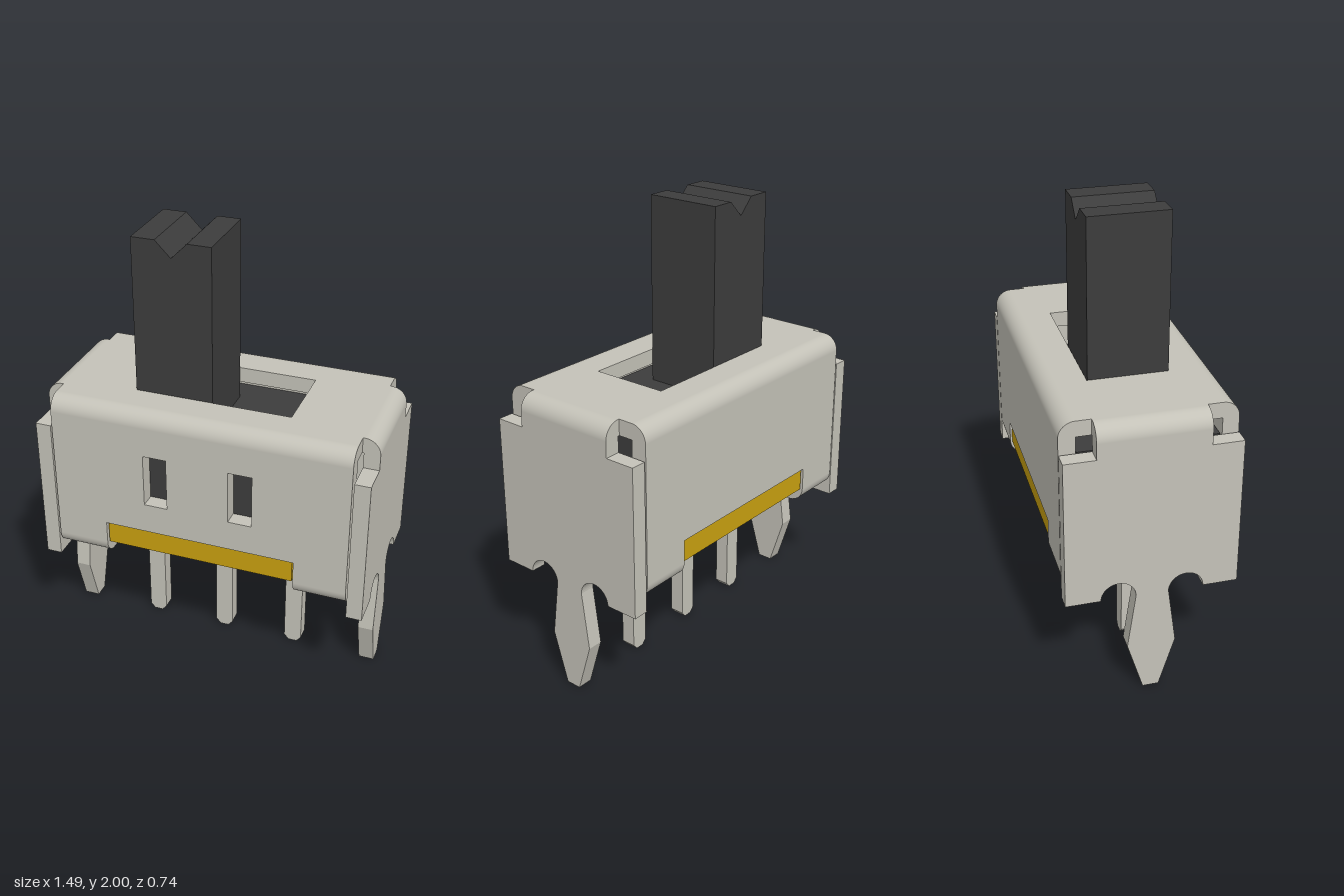
import * as THREE from 'three';

const T = 0.07; // sheet thickness and outer bend radius

const metal = new THREE.MeshStandardMaterial({ color: 0xc4c2b8 });
const dark = new THREE.MeshStandardMaterial({ color: 0x3c3c3c });
const amber = new THREE.MeshStandardMaterial({ color: 0xc8a010 });

const outline = (points) => new THREE.Shape(points.map(([x, y]) => new THREE.Vector2(x, y)));
const rect = (x0, x1, y0, y1) => [[x0, y0], [x1, y0], [x1, y1], [x0, y1]];
const extrude = (shape, depth) =>
  new THREE.ExtrudeGeometry(shape, { depth, bevelEnabled: false, curveSegments: 12 });

function add(parent, name, geometry, material) {
  const mesh = new THREE.Mesh(geometry, material);
  mesh.name = name;
  parent.add(mesh);
  return mesh;
}

// Box given by its limits on each axis
function block(x0, x1, y0, y1, z0, z1) {
  return new THREE.BoxGeometry(x1 - x0, y1 - y0, z1 - z0)
    .translate((x0 + x1) / 2, (y0 + y1) / 2, (z0 + z1) / 2);
}

// Quarter-round fold running along x, bulging to +z and up or down
function fold(length, up) {
  return new THREE.CylinderGeometry(T, T, length, 12, 1, false, up ? 0 : -Math.PI / 2, Math.PI / 2)
    .rotateZ(Math.PI / 2);
}

// Long wall with its top fold and two tabs folded under the base
function longWall(name, windows) {
  const g = new THREE.Group();
  g.name = name;
  const shape = outline([
    [-0.67, 0.61], [-0.435, 0.61], [-0.435, 0.715], [0.435, 0.715],
    [0.435, 0.61], [0.67, 0.61], [0.67, 1.235], [-0.67, 1.235],
  ]);
  if (windows) {
    for (const x of [-0.193, 0.193]) {
      shape.holes.push(outline(rect(x - 0.053, x + 0.053, 0.855, 1.1)));
    }
  }
  add(g, 'wallPanel', extrude(shape, T).translate(0, 0, 0.3), metal);
  add(g, 'topFold', fold(1.34, true).translate(0, 1.235, 0.3), metal);
  for (const s of [-1, 1]) {
    add(g, 'tabFold', fold(0.235, false).translate(s * 0.5525, 0.61, 0.3), metal);
    add(g, 'bottomTab', block(-0.1175, 0.1175, 0.54, 0.61, 0.13, 0.3).translate(s * 0.5525, 0, 0), metal);
  }
  return g;
}

// End wall with its arrow-shaped mounting leg
function endWall(name) {
  const g = new THREE.Group();
  g.name = name;
  const s = new THREE.Shape();
  s.moveTo(-0.37, 0.49);
  s.lineTo(-0.22, 0.49);
  s.absarc(-0.145, 0.49, 0.075, Math.PI, 0, true);
  s.lineTo(-0.105, 0.23);
  s.lineTo(-0.035, 0);
  s.lineTo(0.035, 0);
  s.lineTo(0.105, 0.23);
  s.lineTo(0.07, 0.49);
  s.absarc(0.145, 0.49, 0.075, Math.PI, 0, true);
  s.lineTo(0.37, 0.49);
  s.lineTo(0.37, 1.165);
  s.lineTo(0.235, 1.165);
  s.lineTo(0.235, 1.235);
  s.lineTo(-0.235, 1.235);
  s.lineTo(-0.235, 1.165);
  s.lineTo(-0.37, 1.165);
  s.closePath();
  add(g, 'endPanel', extrude(s, T).rotateY(Math.PI / 2).translate(0.677, 0, 0), metal);
  add(g, 'endFold', fold(0.47, true).rotateY(Math.PI / 2).translate(0.677, 1.235, 0), metal);
  return g;
}

export function createModel() {
  const model = new THREE.Group();
  model.name = 'slideSwitch';

  // Folded metal shell
  const shell = new THREE.Group();
  shell.name = 'shell';
  model.add(shell);
  const top = outline([
    [-0.677, -0.235], [-0.67, -0.235], [-0.67, -0.3], [0.67, -0.3], [0.67, -0.235], [0.677, -0.235],
    [0.677, 0.235], [0.67, 0.235], [0.67, 0.3], [-0.67, 0.3], [-0.67, 0.235], [-0.677, 0.235],
  ]);
  top.holes.push(outline(rect(-0.35, 0.35, -0.175, 0.175)));
  add(shell, 'topPlate', extrude(top, T).rotateX(-Math.PI / 2).translate(0, 1.235, 0), metal);
  shell.add(longWall('frontWall', true));
  const back = longWall('backWall', false);
  back.rotation.y = Math.PI;
  shell.add(back);
  shell.add(endWall('leftEnd'));
  const right = endWall('rightEnd');
  right.rotation.y = Math.PI;
  shell.add(right);

  // Insulating base, reaching out through the cutouts of the long walls
  const base = outline([
    [-0.66, -0.3], [-0.428, -0.3], [-0.428, -0.362], [0.428, -0.362], [0.428, -0.3], [0.66, -0.3],
    [0.66, 0.3], [0.428, 0.3], [0.428, 0.362], [-0.428, 0.362], [-0.428, 0.3], [-0.66, 0.3],
  ]);
  add(model, 'base', extrude(base, 0.104).rotateX(-Math.PI / 2).translate(0, 0.611, 0), amber);

  // Slider carriage and notched handle
  add(model, 'sliderBody', block(-0.66, 0.31, 0.716, 1.16, -0.295, 0.295), dark);
  const handle = outline([
    [-0.35, 1.15], [0, 1.15], [0, 2], [-0.105, 2], [-0.175, 1.93], [-0.245, 2], [-0.35, 2],
  ]);
  add(model, 'handle', extrude(handle, 0.346).translate(0, 0, -0.173), dark);

  // Contact pins with chamfered tips
  const pin = outline([
    [-0.02, 0], [0.02, 0], [0.041, 0.025], [0.041, 0.62], [-0.041, 0.62], [-0.041, 0.025],
  ]);
  for (const x of [-0.347, 0, 0.347]) {
    add(model, 'contactPin', extrude(pin, 0.066).translate(x, 0, -0.033), metal);
  }
  return model;
}
